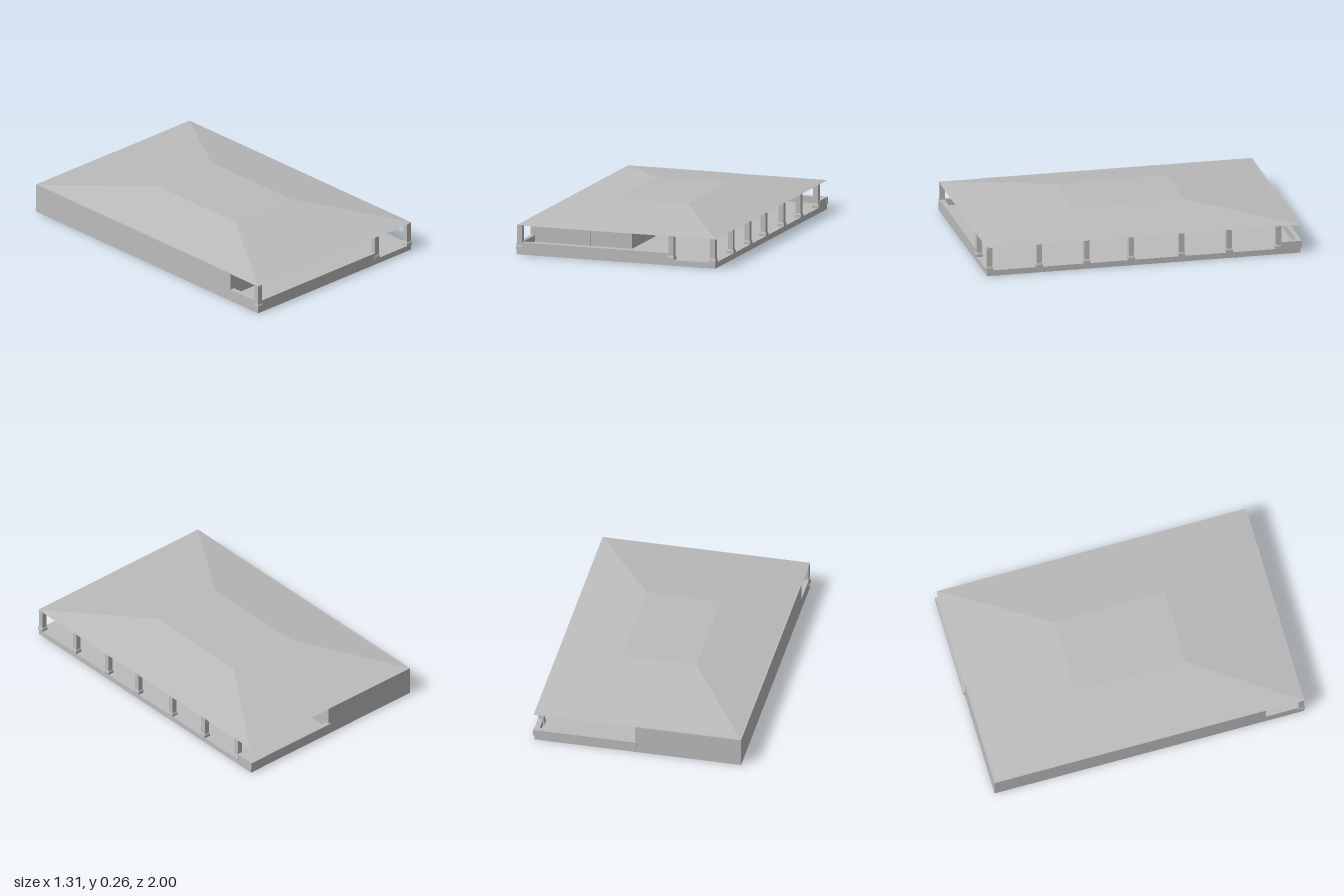
import * as THREE from 'three';

export function createModel() {
  const model = new THREE.Group();
  model.name = 'pavilion';
  const grey = new THREE.MeshStandardMaterial({ color: 0xbcbcbc });
  grey.name = 'plain grey';

  // Box given by its lower and upper corners
  function block(name, [x0, y0, z0], [x1, y1, z1], parent = model) {
    const mesh = new THREE.Mesh(new THREE.BoxGeometry(x1 - x0, y1 - y0, z1 - z0), grey);
    mesh.position.set((x0 + x1) / 2, (y0 + y1) / 2, (z0 + z1) / 2);
    mesh.name = name;
    parent.add(mesh);
    return mesh;
  }

  const FLOOR = 0.035, RAIL = 0.077, EAVE = 0.185;

  // Base slab and the enclosed room on the right rear
  block('baseSlab', [-0.655, 0, -0.99], [0.65, FLOOR, 0.995]);
  block('room', [-0.655, FLOOR, -0.99], [0.013, EAVE, 0.75]);

  // Low walls round the open porch
  block('frontLowWall', [-0.655, FLOOR, 0.965], [0.345, RAIL, 0.995]);
  block('sideLowWall', [-0.655, FLOOR, 0.75], [-0.625, RAIL, 0.965]);
  block('backLowWall', [0.005, FLOOR, -1], [0.655, RAIL, -0.97]);
  block('backLowWallReturn', [0.62, FLOOR, -0.97], [0.652, RAIL, -0.855]);

  // Small bracket on the front wall of the room
  block('bracketPost', [-0.266, FLOOR, 0.75], [-0.261, 0.128, 0.756]);
  block('bracketArm', [-0.261, 0.123, 0.75], [-0.21, 0.128, 0.756]);

  // Square post with a tapered foot
  function pillar(x, z) {
    const group = new THREE.Group();
    group.name = 'pillar';
    const h = 0.0165, foot = 0.0215;
    block('shaft', [-h, FLOOR, -h], [h, EAVE, h], group);
    block('foot', [-foot, FLOOR, -foot], [foot, 0.05, foot], group);
    const taper = new THREE.Mesh(
      new THREE.CylinderGeometry(h * Math.SQRT2, foot * Math.SQRT2, 0.012, 4, 1, true)
        .rotateY(Math.PI / 4).toNonIndexed(), grey);
    taper.geometry.computeVertexNormals();
    taper.position.y = 0.056;
    taper.name = 'footTaper';
    group.add(taper);
    group.position.set(x, 0, z);
    model.add(group);
  }
  [0.978, 0.662, 0.362, 0.08, -0.238, -0.54, -0.853].forEach((z) => pillar(0.633, z));
  pillar(0.359, 0.978);
  pillar(-0.637, 0.978);

  // Hipped roof with a flat top: a box whose upper corners are drawn in
  const roofShape = new THREE.BoxGeometry(2, 1, 2).toNonIndexed();
  const p = roofShape.attributes.position;
  for (let i = 0; i < p.count; i++) {
    const top = p.getY(i) > 0;
    p.setXYZ(i,
      p.getX(i) * (top ? 0.235 : 0.655),
      top ? 0.26 : EAVE - 0.002,
      p.getZ(i) * (top ? 0.355 : 0.993) + (top ? 0 : 0.003));
  }
  roofShape.computeVertexNormals();
  const roof = new THREE.Mesh(roofShape, grey);
  roof.name = 'roof';
  model.add(roof);

  return model;
}
